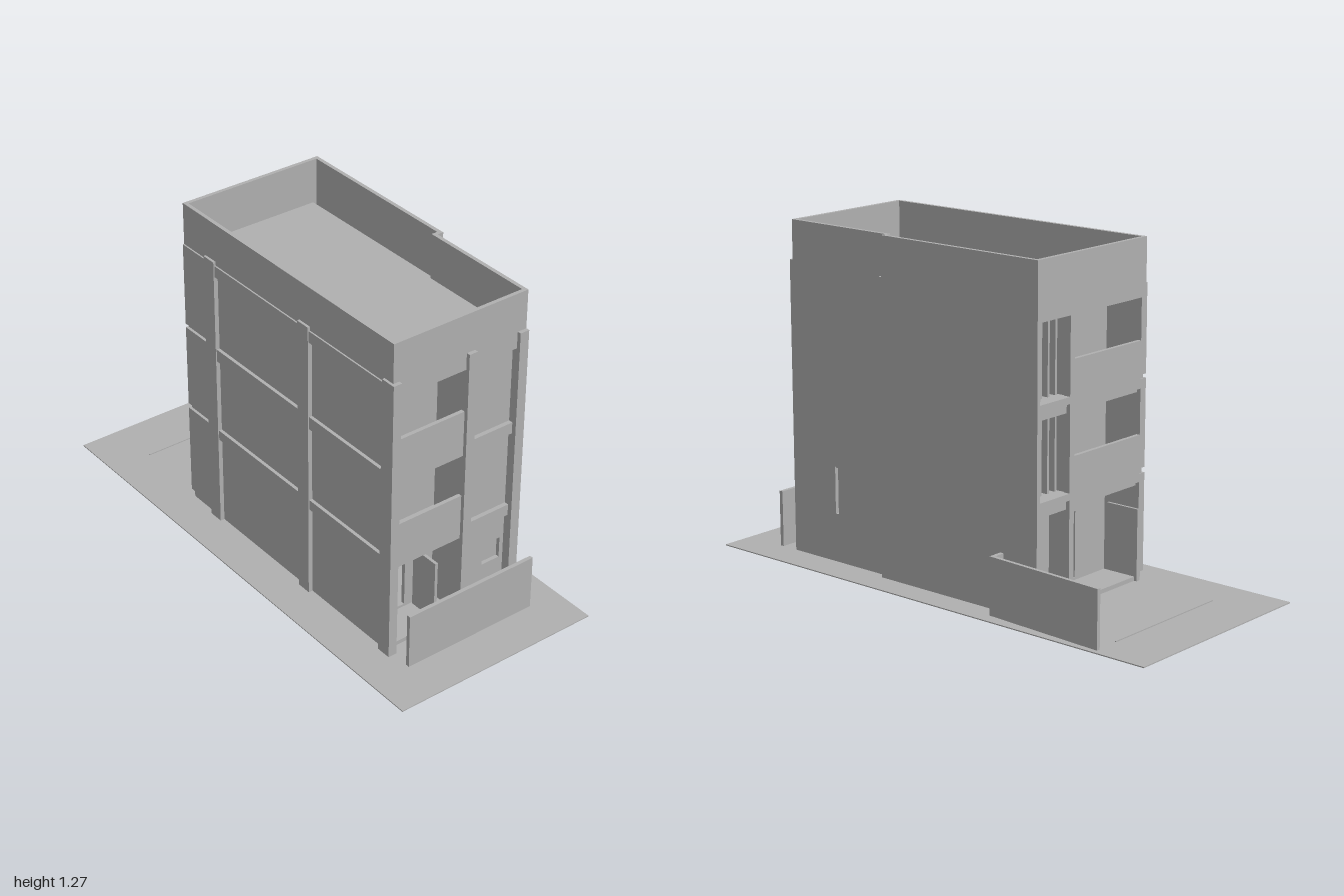
import * as THREE from 'three';

export function createModel() {
  const model = new THREE.Group();
  const grey = new THREE.MeshStandardMaterial({ color: 0xb0b0b0 });
  grey.name = 'plaster grey';
  grey.side = THREE.DoubleSide;

  // Box given by its limits on each axis
  const box = (name, x0, x1, y0, y1, z0, z1, parent = model) => {
    const mesh = new THREE.Mesh(new THREE.BoxGeometry(x1 - x0, y1 - y0, z1 - z0), grey);
    mesh.position.set((x0 + x1) / 2, (y0 + y1) / 2, (z0 + z1) / 2);
    mesh.name = name;
    parent.add(mesh);
    return mesh;
  };
  // Vertical wall with rectangular holes [u0, u1, y0, y1]; axis 'z' runs along x, axis 'x' runs along z
  const wall = (name, axis, at, thick, u0, u1, y0, y1, holes) => {
    const rect = (T, a, b, c, d) => {
      const s = new T();
      s.moveTo(a, c); s.lineTo(b, c); s.lineTo(b, d); s.lineTo(a, d); s.closePath();
      return s;
    };
    const flip = axis === 'x' ? -1 : 1;
    const span = (a, b) => flip > 0 ? [a, b] : [-b, -a];
    const shape = rect(THREE.Shape, ...span(u0, u1), y0, y1);
    for (const [a, b, c, d] of holes) shape.holes.push(rect(THREE.Path, ...span(a, b), c, d));
    const mesh = new THREE.Mesh(new THREE.ExtrudeGeometry(shape, { depth: thick, bevelEnabled: false }), grey);
    if (axis === 'x') { mesh.rotation.y = Math.PI / 2; mesh.position.x = at; } else mesh.position.z = at;
    mesh.name = name;
    model.add(mesh);
  };

  // Site
  box('ground', -1, 1, 0, 0.004, -0.425, 0.425);
  box('curbLine', -0.787, -0.783, 0.003, 0.008, -0.3, 0.255);
  box('boundaryWall', 0.818, 0.833, 0, 0.22, -0.295, 0.262);
  box('fenceReturn', -0.305, -0.29, 0, 0.22, -0.37, -0.318);
  const fence = box('slantedFence', -0.25, 0.25, 0, 0.22, -0.007, 0.007);
  fence.position.set(-0.54, 0.11, -0.384);
  fence.rotation.y = -0.058;

  // Floor slabs and roof deck
  const floors = [0.365, 0.71];
  box('groundFloor', -0.44, 0.715, 0.003, 0.02, -0.29, 0.26);
  for (const y of floors) box('floorSlab', -0.44, 0.715, y, y + 0.045, -0.29, 0.26);
  box('roofDeck', -0.44, 0.72, 1.055, 1.095, -0.29, 0.265);

  // Parapet following the stepped plan
  box('frontParapet', -0.455, 0.735, 1.055, 1.27, 0.26, 0.275);
  box('rightParapet', -0.455, -0.44, 1.055, 1.27, -0.32, 0.275);
  box('leftParapet', 0.72, 0.735, 1.055, 1.27, -0.295, 0.275);

  // Stepped back wall with a narrow slit window
  box('backWall', -0.455, 0.265, 0, 1.27, -0.32, -0.305);
  box('backStep', 0.25, 0.265, 0, 1.27, -0.32, -0.28);
  box('backPilaster', 0.25, 0.28, 0, 1.12, -0.32, -0.28);
  wall('backWallRecess', 'z', -0.295, 0.015, 0.25, 0.735, 0, 1.27, [[0.52, 0.535, 0.19, 0.37]]);

  // Front wall: recessed panels in a frame of columns and beams
  box('frontPanels', -0.3, 0.72, 0, 1.09, 0.25, 0.268);
  for (const x of [-0.32, 0.23, 0.69])
    box('frontColumn', x, x + 0.06, 0, 1.12, 0.25, 0.285);
  for (const [y0, y1] of [[0.37, 0.41], [0.71, 0.76], [1.06, 1.105]])
    box('frontBeam', -0.29, 0.72, y0, y1, 0.25, 0.281);
  for (const [y0, y1] of [[0.04, 0.41], [0.43, 0.76], [0.775, 1.105]])
    box('cornerPanel', -0.455, -0.3, y0, y1, 0.25, 0.281);
  box('cornerBacking', -0.45, -0.3, 0, 1.06, 0.25, 0.27);
  box('cornerInnerPanel', -0.458, -0.32, 0.04, 0.28, 0.24, 0.25);

  // Left end: columns, balconies and recessed rooms
  box('sideColumn', 0.715, 0.75, 0, 1.12, -0.07, -0.035);
  box('sideColumn', 0.715, 0.75, 0, 1.12, -0.295, -0.257);
  for (const y of floors) {
    box('balconyRail', 0.72, 0.735, y, y + 0.18, -0.035, 0.25);
    box('sideBeam', 0.7, 0.732, y, y + 0.045, -0.257, -0.07);
  }
  wall('sidePanel', 'x', 0.7, 0.015, -0.28, -0.05, 0, 1.06, [[-0.24, -0.16, 0.18, 0.265]]);
  box('windowPane', 0.69, 0.696, 0.17, 0.275, -0.25, -0.15);
  wall('balconyWall', 'x', 0.56, 0.015, -0.06, 0.25, 0, 1.06,
    [[0.11, 0.185, 0.76, 1.01], [0.11, 0.185, 0.415, 0.665], [0.075, 0.195, 0.03, 0.265]]);
  box('balconyPartition', 0.56, 0.715, 0, 1.06, -0.065, -0.05);
  box('entranceFin', 0.58, 0.7, 0, 0.265, 0.03, 0.042);

  // Right end: balconies beside a tall slatted stair window
  box('sideColumn', -0.455, -0.43, 0, 1.06, -0.145, -0.12);
  for (const y of floors) {
    box('balconyRail', -0.455, -0.44, y + 0.015, y + 0.19, -0.12, 0.25);
    box('landing', -0.455, -0.36, y + 0.035, y + 0.06, -0.305, -0.14);
  }
  box('stairWall', -0.36, -0.345, 0.02, 1.06, -0.3, -0.13);
  for (const y of [0.425, 0.77])
    for (let i = 0; i < 4; i++)
      box('stairSlat', -0.4, -0.36, y, y + 0.28, -0.28 + i * 0.04, -0.27 + i * 0.04);
  box('stairPartition', -0.44, -0.3, 0, 1.06, -0.14, -0.125);
  wall('balconyWall', 'x', -0.3, 0.015, -0.14, 0.25, 0, 1.06,
    [[-0.05, 0.05, 0.76, 1.01], [-0.05, 0.05, 0.415, 0.665], [-0.08, 0.08, 0.03, 0.28]]);

  return model;
}
